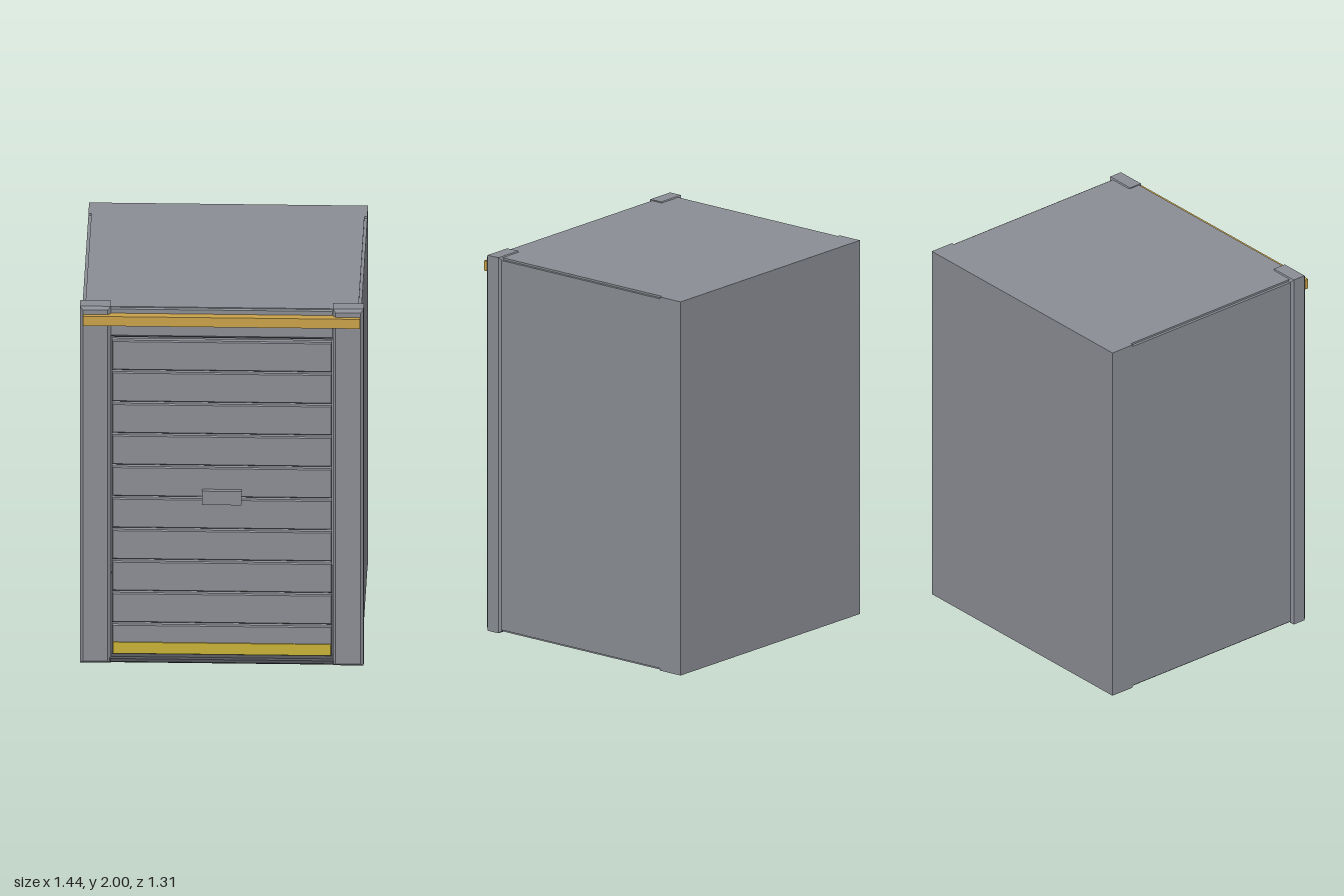
import * as THREE from 'three';

export function createModel() {
  const group = new THREE.Group();
  const mat = (name, color) => {
    const m = new THREE.MeshStandardMaterial({ color });
    m.name = name;
    return m;
  };
  const steel = mat('grey steel', 0x8a8d94);
  const dark = mat('dark steel', 0x515359);
  const gold = mat('gold trim', 0xc9a24a);
  const yellow = mat('yellow marking', 0xc9b136);

  const add = (name, geometry, material) => {
    const mesh = new THREE.Mesh(geometry, material);
    mesh.name = name;
    group.add(mesh);
    return mesh;
  };
  // Box given by its limits on each axis
  const box = (name, material, [x0, x1], [y0, y1], [z0, z1]) => {
    const g = new THREE.BoxGeometry(x1 - x0, y1 - y0, z1 - z0);
    g.translate((x0 + x1) / 2, (y0 + y1) / 2, (z0 + z1) / 2);
    return add(name, g, material);
  };
  // Box with all edges chamfered by c
  const chamferBox = (name, material, [x0, x1], [y0, y1], [z0, z1], c) => {
    const w = x1 - x0 - 2 * c, h = y1 - y0 - 2 * c;
    const s = new THREE.Shape();
    s.moveTo(x0 + c, y0 + c);
    s.lineTo(x0 + c + w, y0 + c);
    s.lineTo(x0 + c + w, y0 + c + h);
    s.lineTo(x0 + c, y0 + c + h);
    s.closePath();
    const g = new THREE.ExtrudeGeometry(s, {
      depth: z1 - z0 - 2 * c, bevelEnabled: true,
      bevelThickness: c, bevelSize: c, bevelSegments: 1,
    });
    g.translate(0, 0, z0 + c);
    return add(name, g, material);
  };

  // Hollow cabinet shell
  box('backWall', steel, [-0.71, 0.71], [0.01, 1.995], [-0.655, -0.52]);
  box('roof', steel, [-0.695, 0.695], [1.87, 1.995], [-0.52, 0.605]);
  for (const s of [-1, 1]) {
    const span = (a, b) => (s > 0 ? [a, b] : [-b, -a]);
    box('sideWall', steel, span(0.59, 0.71), [0.022, 1.985], [-0.52, 0.54]);
    box('bottomRail', steel, span(0.59, 0.695), [0.01, 0.022], [-0.52, 0.54]);
    chamferBox('frontPost', steel, span(0.565, 0.722), [0.005, 2], [0.53, 0.632], 0.015);
  }
  box('floor', dark, [-0.59, 0.59], [0.012, 0.04], [-0.52, 0.54]);

  // Front frame
  chamferBox('header', steel, [-0.575, 0.575], [1.825, 1.995], [0.54, 0.612], 0.012);
  chamferBox('sill', dark, [-0.575, 0.575], [0.008, 0.04], [0.53, 0.625], 0.008);
  box('topTrim', gold, [-0.705, 0.705], [1.907, 1.96], [0.605, 0.655]);

  // Slatted shutter with narrow gaps
  const pitch = 0.1765;
  for (let i = 0; i < 10; i++) {
    const y = 0.042 + i * pitch;
    chamferBox('slat', steel, [-0.56, 0.56], [y, y + 0.166], [0.55, 0.59], 0.006);
  }
  box('shutterTopRail', steel, [-0.565, 0.565], [1.81, 1.83], [0.55, 0.575]);
  box('bottomStripe', yellow, [-0.554, 0.554], [0.048, 0.11], [0.588, 0.596]);
  box('handle', steel, [-0.1, 0.1], [0.893, 0.97], [0.585, 0.615]);

  return group;
}
